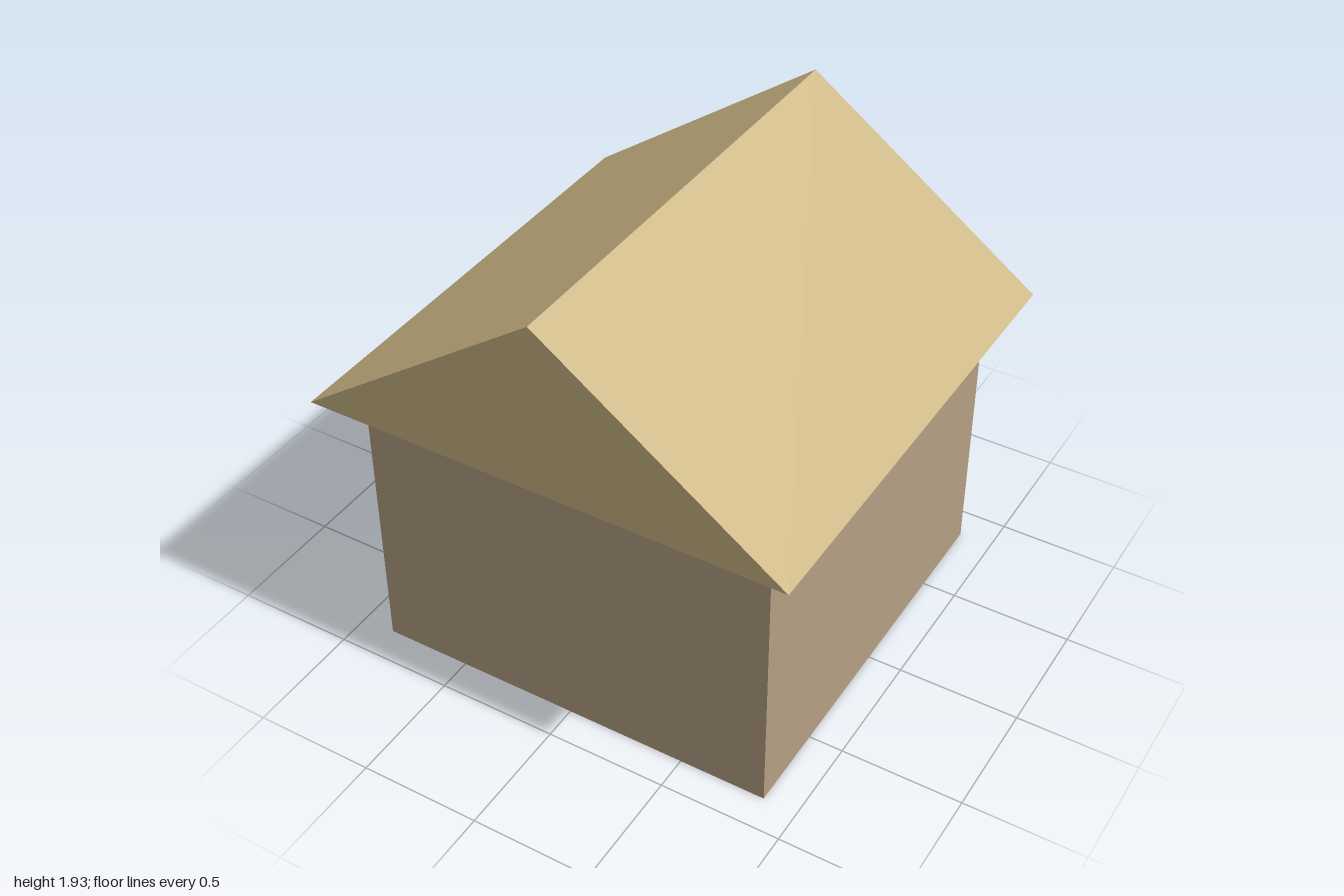
import * as THREE from 'three';

const WALL = 1.72;   // wall width and depth
const EAVE = 1.215;  // wall height
const RIDGE = 1.93;
const ROOF = 2;      // roof width and length

function addPart(group, name, geometry, color) {
  const material = new THREE.MeshStandardMaterial({ color, flatShading: true });
  const mesh = new THREE.Mesh(geometry, material);
  mesh.name = name;
  group.add(mesh);
  return mesh;
}

export function createModel() {
  const house = new THREE.Group();
  house.name = 'house';

  // Square walls with a closed floor
  const walls = addPart(house, 'walls', new THREE.BoxGeometry(WALL, EAVE, WALL), 0xb49f84);
  walls.position.y = EAVE / 2;

  // Solid gable roof, overhanging the walls on all sides
  const gable = new THREE.Shape([
    new THREE.Vector2(-ROOF / 2, 0),
    new THREE.Vector2(ROOF / 2, 0),
    new THREE.Vector2(0, RIDGE - EAVE),
  ]);
  const prism = new THREE.ExtrudeGeometry(gable, { depth: ROOF, bevelEnabled: false });
  const roof = addPart(house, 'roof', prism, 0xcab482);
  roof.position.set(0, EAVE, -ROOF / 2);

  return house;
}
